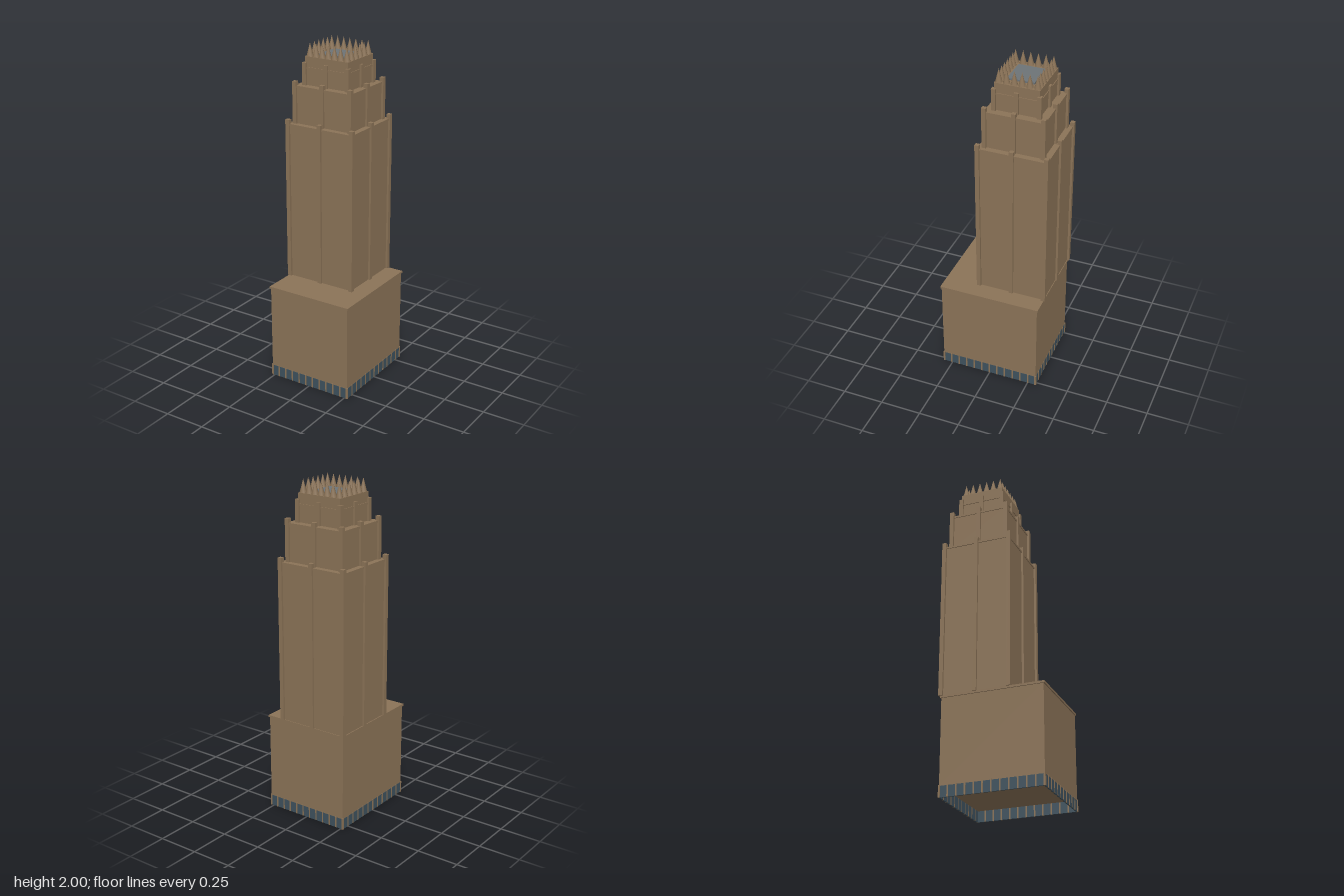
import * as THREE from 'three';

export function createModel() {
  const model = new THREE.Group();
  model.name = 'tower';
  const stone = new THREE.MeshStandardMaterial({ color: 0x8b7357 });
  stone.name = 'brown stone';
  const glass = new THREE.MeshStandardMaterial({ color: 0x3e515d });
  glass.name = 'dark blue glass';
  const roofing = new THREE.MeshStandardMaterial({ color: 0x6d7376 });
  roofing.name = 'grey roofing';

  // Box given by half sizes in x and z and by its bottom and top heights
  function block(parent, name, mat, x, z, hx, hz, y0, y1) {
    const mesh = new THREE.Mesh(new THREE.BoxGeometry(hx * 2, y1 - y0, hz * 2), mat);
    mesh.position.set(x, (y0 + y1) / 2, z);
    mesh.name = name;
    parent.add(mesh);
    return mesh;
  }
  function group(name, parent = model) {
    const g = new THREE.Group();
    g.name = name;
    parent.add(g);
    return g;
  }

  // Podium with a thin cornice
  const PX = 0.266, PZ = 0.303, CX = 0.002, CZ = 0.002, SHOP = 0.065;
  const podium = group('podium');
  block(podium, 'podiumBody', stone, CX, CZ, PX, PZ, SHOP, 0.578);
  block(podium, 'podiumCornice', stone, CX, CZ, PX + 0.006, PZ + 0.006, 0.574, 0.587);

  // Shop fronts: a ring of panes and narrow posts under the podium walls
  const shops = group('shopFronts');
  function shopRow(name, halfLength, offset, count, angle) {
    const row = group(name, shops);
    row.position.set(CX, 0, CZ);
    row.rotation.y = angle;
    const step = (2 * halfLength) / count;
    for (let i = 0; i <= count; i++) {
      const x = -halfLength + i * step;
      block(row, 'post', stone, x, offset - 0.002, 0.0045, 0.005, 0, SHOP + 0.005);
      if (i < count) block(row, 'pane', glass, x + step / 2, offset - 0.003, step / 2 - 0.0045, 0.004, 0, SHOP);
    }
  }
  for (const side of [0, 1]) {
    shopRow(side ? 'backShops' : 'frontShops', PX, PZ, 11, side * Math.PI);
    shopRow(side ? 'leftShops' : 'rightShops', PZ, PX, 12, Math.PI / 2 + side * Math.PI);
  }

  // Stepped shaft: each tier has a body, a cornice and eight piers
  const shaft = group('shaft');
  shaft.position.set(-0.05, 0, -0.1);
  const tiers = [
    { name: 'lowerTier', hx: 0.2145, hz: 0.203, y0: 0.587, y1: 1.535, pier: 1.56 },
    { name: 'middleTier', hx: 0.184, hz: 0.1725, y0: 1.535, y1: 1.757, pier: 1.782 },
    { name: 'upperTier', hx: 0.143, hz: 0.1315, y0: 1.757, y1: 1.862, pier: 1.887 },
  ];
  for (const t of tiers) {
    const tier = group(t.name, shaft);
    block(tier, 'body', stone, 0, 0, t.hx, t.hz, t.y0, t.y1 - 0.004);
    block(tier, 'cornice', stone, 0, 0, t.hx + 0.0045, t.hz + 0.0045, t.y1 - 0.012, t.y1);
    for (const i of [-1, 0, 1]) for (const j of [-1, 0, 1]) {
      if (i || j) block(tier, 'pier', stone, i * t.hx, j * t.hz, 0.0125, 0.0125, t.y0, t.pier);
    }
  }

  // Crown with a grey roof slab and a border of pointed spikes
  const crown = group('crown', shaft);
  const CROWN = 1.922, TIP = 2;
  block(crown, 'crownWall', stone, 0, 0, 0.143, 0.1315, 1.86, CROWN);
  block(crown, 'roofSlab', roofing, 0, 0, 0.0855, 0.079, CROWN - 0.01, CROWN + 0.01);
  const spike = new THREE.ConeGeometry(0.0205, TIP - CROWN, 8);
  const NX = 7, NZ = 6;
  for (let i = 0; i < NX; i++) for (let j = 0; j < NZ; j++) {
    if (i > 0 && i < NX - 1 && j > 0 && j < NZ - 1) continue;
    const mesh = new THREE.Mesh(spike, stone);
    mesh.name = 'spike';
    mesh.position.set((i / (NX - 1) - 0.5) * 0.245, (CROWN + TIP) / 2, (j / (NZ - 1) - 0.5) * 0.222);
    crown.add(mesh);
  }

  return model;
}
